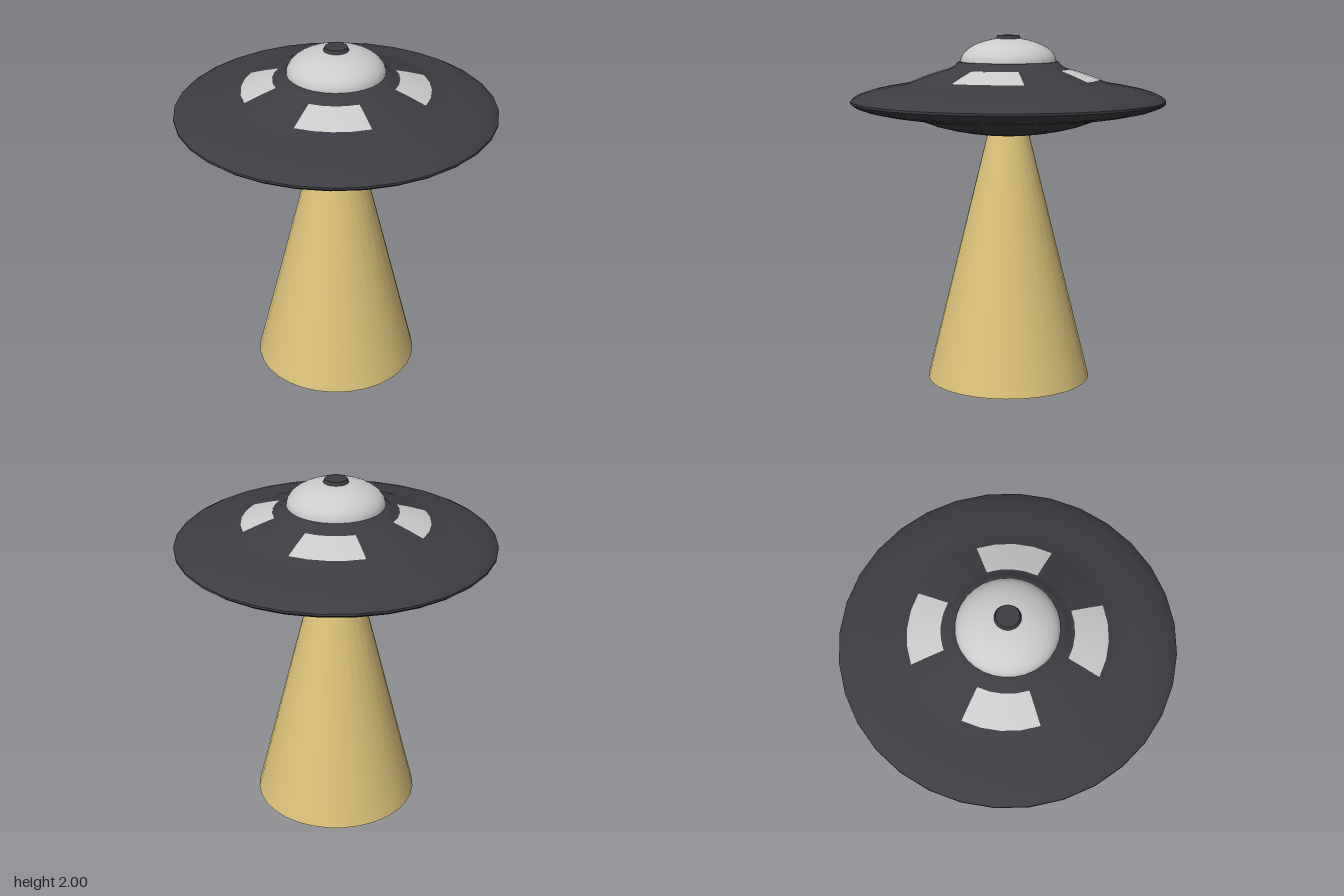
import * as THREE from 'three';

const SIDES = 32;

export function createModel() {
  const model = new THREE.Group();
  const grey = new THREE.MeshStandardMaterial({ color: 0xcccccc });
  const dark = new THREE.MeshStandardMaterial({ color: 0x3c3d42 });
  const gold = new THREE.MeshStandardMaterial({ color: 0xdcc27a, side: THREE.DoubleSide });

  const add = (name, geometry, material, parent = model) => {
    const mesh = new THREE.Mesh(geometry, material);
    mesh.name = name;
    parent.add(mesh);
    return mesh;
  };
  // Profiles run from the bottom axis outward and up, as [radius, height]
  const lathe = (points, sides = SIDES, start = 0, sweep = Math.PI * 2) =>
    new THREE.LatheGeometry(points.map(([r, y]) => new THREE.Vector2(r, y)), sides, start, sweep);

  // Saucer hull, split at its creases
  const saucer = new THREE.Group();
  saucer.name = 'saucer';
  model.add(saucer);
  add('hullUnderside', lathe([
    [0.135, 1.465], [0.15, 1.447], [0.18, 1.441], [0.25, 1.451], [0.33, 1.466], [0.42, 1.489],
    [0.5, 1.518], [0.54, 1.531], [0.6, 1.541], [0.72, 1.559], [0.82, 1.58], [0.88, 1.602], [0.902, 1.62],
  ]), dark, saucer);
  add('hullRim', lathe([[0.902, 1.62], [0.902, 1.632]]), dark, saucer);
  add('hullTop', lathe([
    [0.902, 1.632], [0.885, 1.648], [0.85, 1.667], [0.78, 1.689], [0.7, 1.706], [0.62, 1.719],
    [0.57, 1.73], [0.53, 1.746], [0.44, 1.778], [0.35, 1.806], [0.31, 1.825], [0.285, 1.85], [0.2, 1.852],
  ]), dark, saucer);

  // Four curved windows lying on the upper hull
  for (let i = 0; i < 4; i++) {
    add('window', lathe([[0.53, 1.75], [0.44, 1.782], [0.35, 1.81]],
      4, i * Math.PI / 2 - Math.PI / 8, Math.PI / 4), grey, saucer);
  }

  // Cockpit dome and its cap
  const dome = [];
  for (let i = 0; i <= 12; i++) {
    const a = i / 12 * Math.PI / 2;
    dome.push([0.275 * Math.cos(a), 1.85 + 0.135 * Math.sin(a)]);
  }
  add('dome', lathe(dome), grey, saucer);
  add('domeCap', new THREE.CylinderGeometry(0.062, 0.075, 0.03, SIDES), dark, saucer).position.y = 1.985;

  // Lamp recessed in the underside
  add('beamLamp', lathe([[0, 1.465], [0.138, 1.465]]), grey, saucer);

  // Open conical light beam
  add('beam', new THREE.CylinderGeometry(0.113, 0.475, 1.465, SIDES, 1, true), gold).position.y = 0.7325;

  // Block lifted inside the beam
  add('liftedBlock', new THREE.BoxGeometry(0.54, 0.2, 0.54), grey).position.y = 0.23;

  return model;
}
